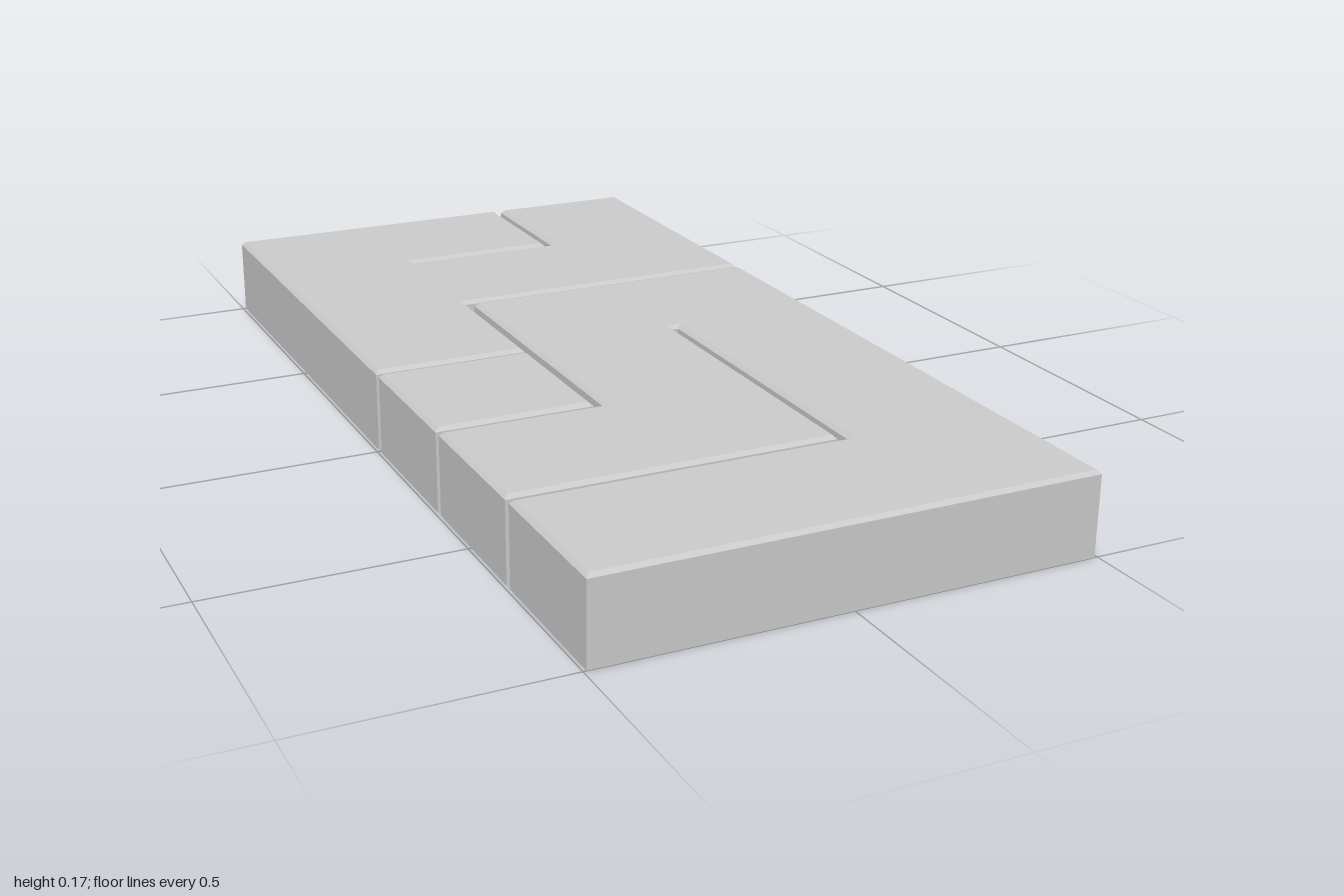
import * as THREE from 'three';
import { mergeGeometries } from 'three/addons/utils/BufferGeometryUtils.js';

const HEIGHT = 0.168, CHAMFER = 0.0075;
const W = 0.4935;         // half width of the slab
const X = 0.167;          // column joint
const P = 0.337, Q = 0.674; // row joints
const G = 0.008;          // half width of the gaps

// Shrinks a counter-clockwise right-angled outline by d
function inset(points, d) {
  const n = points.length;
  const normal = (a, b) => {
    const e = b.clone().sub(a).normalize();
    return new THREE.Vector2(-e.y, e.x).multiplyScalar(d);
  };
  return points.map((p, i) => p.clone()
    .add(normal(points[(i + n - 1) % n], p))
    .add(normal(p, points[(i + 1) % n])));
}

// Flat cap at height y, facing up or down
function cap(points, y, up) {
  const g = new THREE.ShapeGeometry(new THREE.Shape(points)).toNonIndexed();
  g.rotateX(-Math.PI / 2);
  if (!up) {
    const a = g.attributes.position;
    for (let i = 0; i < a.count; i += 3) {
      const x = a.getX(i), z = a.getZ(i);
      a.setXYZ(i, a.getX(i + 1), 0, a.getZ(i + 1));
      a.setXYZ(i + 1, x, 0, z);
    }
  }
  g.translate(0, y, 0);
  g.deleteAttribute('uv');
  g.computeVertexNormals();
  return g;
}

// Band of flat quads between two outlines at two heights
function band(low, y0, high, y1) {
  const v = [];
  low.forEach((a, i) => {
    const j = (i + 1) % low.length, b = low[j], c = high[j], d = high[i];
    v.push(a.x, y0, -a.y, b.x, y0, -b.y, c.x, y1, -c.y);
    v.push(a.x, y0, -a.y, c.x, y1, -c.y, d.x, y1, -d.y);
  });
  const g = new THREE.BufferGeometry();
  g.setAttribute('position', new THREE.Float32BufferAttribute(v, 3));
  g.computeVertexNormals();
  return g;
}

// Interlocking piece with a chamfered top rim, from an outline in x, z
function piece(name, outline, material) {
  const base = outline.map(([x, z]) => new THREE.Vector2(x, -z));
  const top = inset(base, CHAMFER), rim = HEIGHT - CHAMFER;
  const mesh = new THREE.Mesh(mergeGeometries([
    cap(base, 0, false),
    band(base, 0, base, rim),
    band(base, rim, top, HEIGHT),
    cap(top, HEIGHT, true),
  ]), material);
  mesh.name = name;
  return mesh;
}

export function createModel() {
  const group = new THREE.Group();
  group.name = 'slabPuzzle';
  const material = new THREE.MeshStandardMaterial({ color: 0xcccccc, flatShading: true });

  // Back piece, with a hooked slit entering from the back edge
  group.add(piece('backPiece', [
    [-W, -1], [-W, -G], [-X - G, -G], [-X - G, -P - G], [W, -P - G], [W, -1],
    [X + G, -1], [X + G, -Q + G], [-X - G, -Q + G], [-X - G, -Q - G], [X - G, -Q - G], [X - G, -1],
  ], material));

  // Small square piece
  group.add(piece('squarePiece', [
    [-W, G], [-W, P - G], [-X - G, P - G], [-X - G, G],
  ], material));

  // Front piece, with a hooked slit entering from the side edge
  group.add(piece('frontPiece', [
    [-W, P + G], [-W, Q - G], [X - G, Q - G], [X - G, -G], [X + G, -G], [X + G, Q + G],
    [-W, Q + G], [-W, 1], [W, 1], [W, -P + G], [-X + G, -P + G], [-X + G, P + G],
  ], material));

  return group;
}
